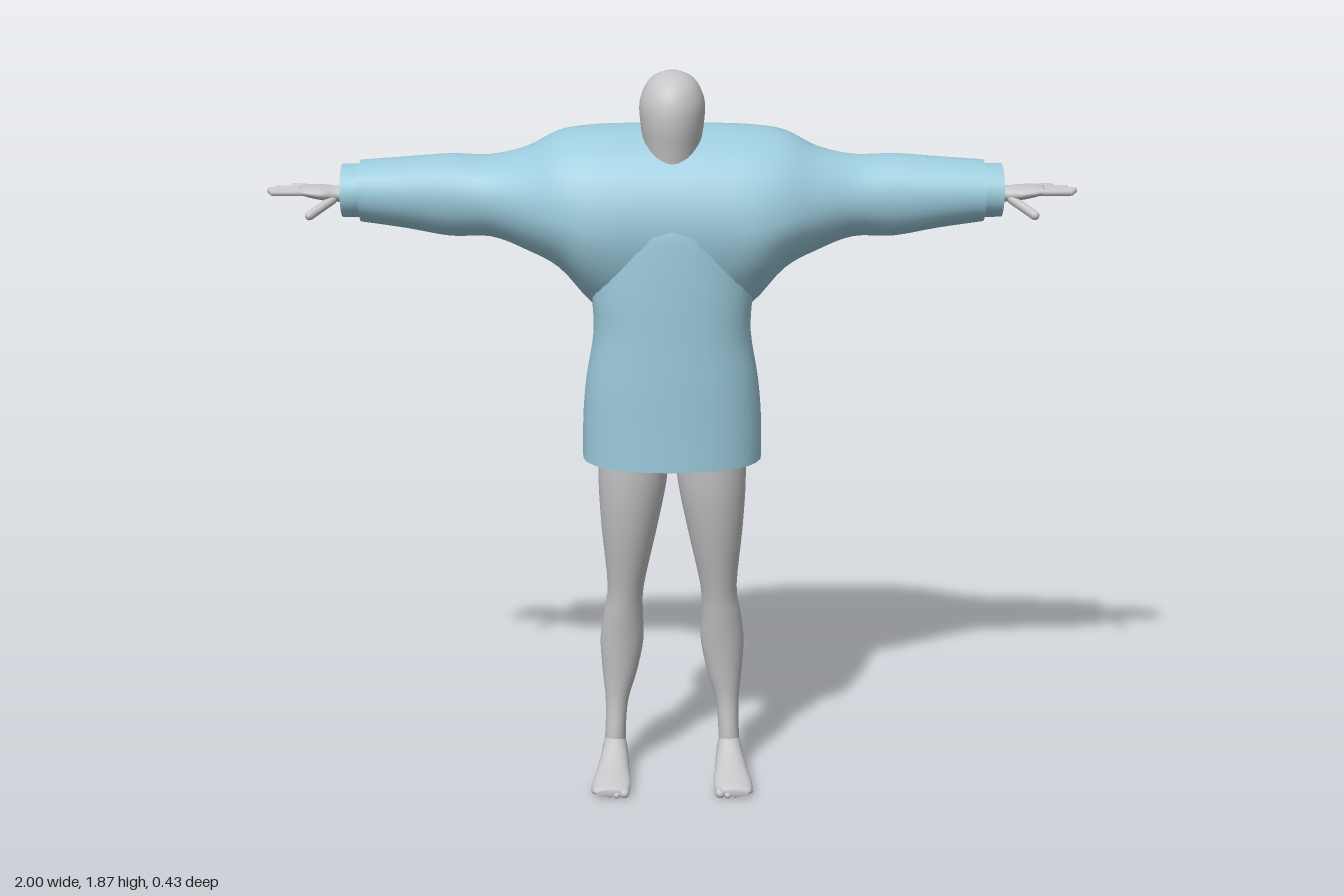
import * as THREE from 'three';

const SEG = 32;

// Smooth the section table with a Catmull-Rom rule
function refine(rows, steps) {
  const out = [];
  const at = i => rows[Math.max(0, Math.min(rows.length - 1, i))];
  for (let i = 0; i < rows.length - 1; i++) {
    for (let k = 0; k < steps; k++) {
      const t = k / steps;
      out.push(rows[i].map((b, c) => {
        const a = at(i - 1)[c], d = at(i + 1)[c], e = at(i + 2)[c];
        return 0.5 * (2 * b + (d - a) * t + (2 * a - 5 * b + 4 * d - e) * t * t
          + (3 * b - a - 3 * d + e) * t * t * t);
      }));
    }
  }
  out.push(rows[rows.length - 1]);
  return out;
}

// Loft along an axis. Row: [position, u0, u1, v0, v1, uMid, vMid, lowExponent];
// (u, v) is (y, z) along x, (z, x) along y and (x, y) along z.
function loft(axis, rows, { steps = 4, cap = true, n = 2 } = {}) {
  const full = rows.map(([p, u0, u1, v0, v1, um = (u0 + u1) / 2, vm = (v0 + v1) / 2, e = n]) =>
    [p, u0, u1, v0, v1, um, vm, e]);
  const rings = refine(full, steps);
  const pos = [], idx = [];
  const put = (p, u, v) => pos.push(...(axis === 'x' ? [p, u, v] : axis === 'y' ? [v, p, u] : [u, v, p]));
  for (const [p, u0, u1, v0, v1, um, vm, e] of rings) {
    for (let j = 0; j < SEG; j++) {
      const a = j / SEG * Math.PI * 2, c = Math.cos(a), s = Math.sin(a);
      const k = 2 / (c < 0 ? e : n);
      const cu = Math.abs(c) ** k, sv = Math.abs(s) ** k;
      put(p, um + cu * (c < 0 ? u0 - um : u1 - um), vm + sv * (s < 0 ? v0 - vm : v1 - vm));
    }
  }
  for (let i = 0; i < rings.length - 1; i++) {
    for (let j = 0; j < SEG; j++) {
      const a = i * SEG + j, b = i * SEG + (j + 1) % SEG;
      idx.push(a, b, b + SEG, a, b + SEG, a + SEG);
    }
  }
  if (cap) {
    const first = rings[0], last = rings[rings.length - 1];
    const c0 = rings.length * SEG, base = c0 - SEG;
    put(first[0], first[5], first[6]);
    put(last[0], last[5], last[6]);
    for (let j = 0; j < SEG; j++) {
      const k = (j + 1) % SEG;
      idx.push(c0, k, j, c0 + 1, base + j, base + k);
    }
  }
  const g = new THREE.BufferGeometry();
  g.setAttribute('position', new THREE.Float32BufferAttribute(pos, 3));
  g.setIndex(idx);
  g.computeVertexNormals();
  return g;
}

// Rounded rod between two points, used for fingers
function rod(a, b, r) {
  const A = new THREE.Vector3(...a), B = new THREE.Vector3(...b);
  const d = B.clone().sub(A);
  const g = new THREE.CapsuleGeometry(r, d.length() - r, 5, 10);
  g.applyQuaternion(new THREE.Quaternion().setFromUnitVectors(new THREE.Vector3(0, 1, 0), d.normalize()));
  const m = A.add(B).multiplyScalar(0.5);
  return g.translate(m.x, m.y, m.z);
}

function mirrorX(g) {
  const m = g.clone().scale(-1, 1, 1);
  const i = m.index.array;
  for (let k = 0; k < i.length; k += 3) [i[k], i[k + 1]] = [i[k + 1], i[k]];
  return m;
}

export function createModel() {
  const root = new THREE.Group();
  const cloth = new THREE.MeshStandardMaterial({ color: 0x9ccbdc, side: THREE.DoubleSide });
  cloth.name = 'pale blue cloth';
  const skin = new THREE.MeshStandardMaterial({ color: 0xc6c6c8 });
  skin.name = 'light grey skin';

  const add = (name, g, mat) => {
    const m = new THREE.Mesh(g, mat);
    m.name = name;
    root.add(m);
  };
  const pair = (name, g, mat) => {
    add('left' + name, g, mat);
    add('right' + name, mirrorX(g), mat);
  };

  // Shoulders and sleeves: one loft from wrist to wrist
  const half = [
    [0.10, 1.21, 1.729, -0.218, 0.21, 1.50, 0.0, 1.7],
    [0.20, 1.28, 1.725, -0.213, 0.207, 1.50, 0.0, 1.8],
    [0.28, 1.37, 1.712, -0.185, 0.185, 1.52, 0.0, 1.9],
    [0.36, 1.415, 1.672, -0.15, 0.148, 1.54, 0.0, 2],
    [0.45, 1.449, 1.652, -0.118, 0.113, 1.55, 0.0, 2],
    [0.55, 1.451, 1.655, -0.103, 0.102, 1.555, 0.005, 2],
    [0.66, 1.472, 1.648, -0.09, 0.101, 1.56, 0.01, 2],
    [0.77, 1.489, 1.641, -0.072, 0.1, 1.565, 0.014, 2]
  ];
  const flip = rows => rows.map(([x, ...r]) => [-x, ...r]).reverse();
  const centre = [0, 1.2, 1.73, -0.219, 0.21, 1.50, 0.0, 1.7];
  add('shouldersAndSleeves', loft('x', [...flip(half), centre, ...half], { cap: false }), cloth);

  // Cuffs
  pair('Cuff', loft('x', [
    [0.755, 1.499, 1.632, -0.064, 0.091],
    [0.815, 1.5, 1.631, -0.063, 0.09]
  ], { cap: false, steps: 1 }), cloth);

  // Lower coat, open at the hem
  add('coatBody', loft('y', [
    [0.89, -0.115, 0.205, -0.226, 0.226],
    [1.00, -0.112, 0.207, -0.224, 0.224],
    [1.10, -0.096, 0.21, -0.215, 0.215],
    [1.22, -0.076, 0.212, -0.196, 0.196],
    [1.32, -0.08, 0.214, -0.2, 0.2],
    [1.42, -0.1, 0.214, -0.2, 0.2],
    [1.50, -0.11, 0.21, -0.19, 0.19],
    [1.56, -0.11, 0.19, -0.16, 0.16]
  ], { cap: false, n: 2.3 }), cloth);

  // Smooth egg-shaped head sinking into the collar
  add('head', loft('y', [
    [1.58, 0.0, 0.14, -0.055, 0.055],
    [1.68, -0.02, 0.158, -0.068, 0.068],
    [1.74, -0.031, 0.17, -0.077, 0.077],
    [1.79, -0.037, 0.17, -0.08, 0.08],
    [1.83, -0.026, 0.155, -0.068, 0.068],
    [1.856, 0.0, 0.125, -0.047, 0.047],
    [1.869, 0.04, 0.085, -0.018, 0.018]
  ]), skin);

  // Hips under the coat
  add('hips', loft('y', [
    [0.885, 0.01, 0.11, -0.09, 0.09],
    [0.91, -0.025, 0.14, -0.165, 0.165],
    [1.0, -0.04, 0.155, -0.18, 0.18],
    [1.15, -0.02, 0.15, -0.15, 0.15]
  ]), skin);

  // Legs
  pair('Leg', loft('y', [
    [0.05, -0.05, 0.025, 0.122, 0.182],
    [0.12, -0.047, 0.025, 0.122, 0.176],
    [0.20, -0.05, 0.02, 0.115, 0.175],
    [0.28, -0.06, 0.028, 0.092, 0.182],
    [0.37, -0.066, 0.042, 0.075, 0.187],
    [0.45, -0.055, 0.058, 0.076, 0.178],
    [0.53, -0.04, 0.075, 0.073, 0.167],
    [0.69, -0.036, 0.118, 0.04, 0.18],
    [0.82, -0.035, 0.143, 0.015, 0.187],
    [0.93, -0.035, 0.152, 0.004, 0.185]
  ]), skin);

  // Feet: heel to toes, turned slightly outward
  pair('Foot', loft('z', [
    [-0.063, 0.135, 0.165, 0.025, 0.055],
    [-0.05, 0.122, 0.178, 0.008, 0.085],
    [-0.01, 0.118, 0.183, 0.006, 0.115],
    [0.03, 0.115, 0.187, 0.008, 0.1],
    [0.08, 0.112, 0.196, 0.008, 0.07],
    [0.13, 0.108, 0.206, 0.004, 0.048],
    [0.165, 0.112, 0.206, 0.003, 0.034],
    [0.18, 0.122, 0.196, 0.006, 0.025]
  ]), skin);
  for (let i = 0; i < 5; i++) {
    const r = i ? 0.009 : 0.013, x = 0.122 + i * 0.0195, z = 0.187 - i * i * 0.002;
    pair('Toe' + (i + 1), rod([x, r + 0.006, z - 0.04], [x + 0.002, r, z - r / 2], r), skin);
  }

  // Forearms and palms
  pair('Hand', loft('x', [
    [0.55, 1.52, 1.6, -0.025, 0.06],
    [0.76, 1.53, 1.588, -0.012, 0.048],
    [0.825, 1.538, 1.578, -0.014, 0.048],
    [0.86, 1.543, 1.58, -0.024, 0.064],
    [0.895, 1.55, 1.58, -0.026, 0.062],
    [0.92, 1.558, 1.576, -0.02, 0.055]
  ]), skin);

  // Fingers and thumb
  const tips = [[0.945, -0.026], [0.98, 0.001], [0.997, 0.026], [0.988, 0.051]];
  tips.forEach(([x, z], i) => {
    pair('Finger' + (i + 1), rod([0.88, 1.566, -0.015 + i * 0.021], [x, 1.567, z], 0.0088), skin);
  });
  pair('Thumb', rod([0.835, 1.55, 0.04], [0.895, 1.514, 0.09], 0.0115), skin);

  return root;
}
